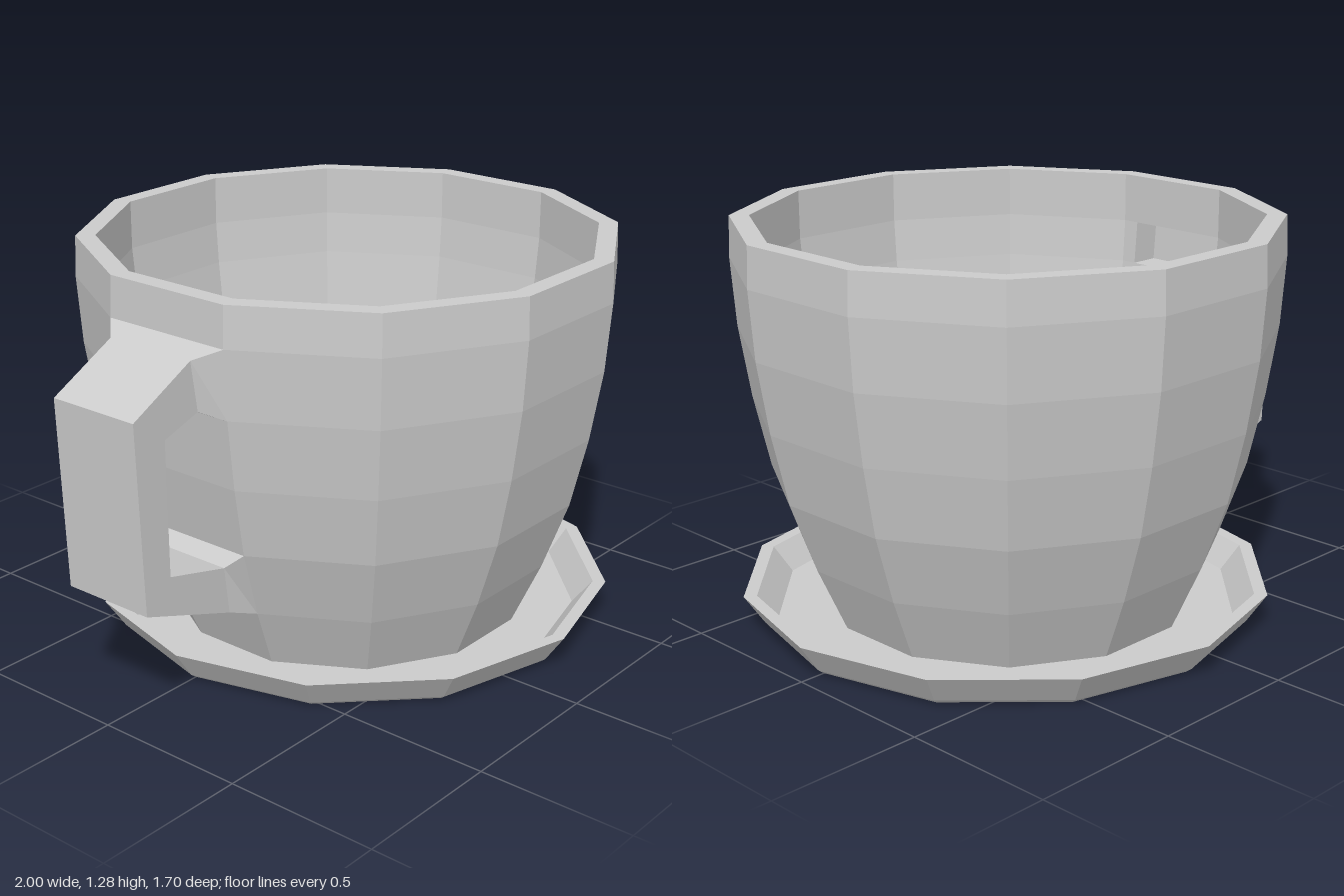
import * as THREE from 'three';

const SIDES = 12;
const HALF = Math.PI / SIDES;
const CUP_X = 0.13;
const material = new THREE.MeshStandardMaterial({ color: 0xcccccc, flatShading: true });

// Collects four-cornered faces (counter-clockwise from outside) into one mesh
function faceBuilder(name) {
  const pos = [];
  return {
    quad(a, b, c, d) {
      for (const p of [a, b, c, a, c, d]) pos.push(...p);
    },
    mesh() {
      const g = new THREE.BufferGeometry();
      g.setAttribute('position', new THREE.Float32BufferAttribute(pos, 3));
      g.computeVertexNormals();
      const m = new THREE.Mesh(g, material);
      m.name = name;
      return m;
    },
  };
}

// Cup wall: [distance to the flat side, height, opening kind on the handle side]
const cupProfile = [
  [0, 0.03], [0.565, 0.03], [0.655, 0.24, 'handle'], [0.735, 0.47], [0.785, 0.7],
  [0.82, 0.93, 'handle'], [0.835, 1.15], [0.83, 1.28],
  [0.77, 1.28], [0.77, 1.12, 'pit'], [0.758, 0.98], [0.72, 0.7],
  [0.655, 0.44, 'pit'], [0.595, 0.28], [0.505, 0.1], [0, 0.1],
];

function cup() {
  const f = faceBuilder('cup');
  const at = (angle, [r, y]) => {
    const R = r / Math.cos(HALF);
    return [CUP_X + R * Math.cos(angle), y, R * Math.sin(angle)];
  };
  for (let k = 0; k < SIDES; k++) {
    const a0 = HALF * (2 * k + 1), a1 = a0 + 2 * HALF;
    for (let i = 0; i < cupProfile.length - 1; i++) {
      const p = cupProfile[i], q = cupProfile[i + 1];
      const outer = [at(a1, p), at(a0, p), at(a0, q), at(a1, q)];
      const opening = k === 5 ? p[2] : undefined;
      if (!opening) f.quad(...outer);
      if (opening === 'pit') pit(f, outer);
    }
  }
  return f.mesh();
}

// Recess in the inner wall where a handle end joins the cup
function pit(f, outer) {
  const w = 0.15, depth = 0.1;
  const rim = outer.map(([x, y, z]) => [x, y, Math.sign(z) * w]);
  const back = rim.map(([x, y, z]) => [x - depth, y, z]);
  f.quad(outer[0], rim[0], rim[3], outer[3]);
  f.quad(rim[1], outer[1], outer[2], rim[2]);
  for (let j = 0; j < 4; j++) {
    const n = (j + 1) % 4;
    f.quad(rim[j], rim[n], back[n], back[j]);
  }
  f.quad(...back);
}

// Angular handle: outer x, y and inner x, y along its path; the roots flare to the wall panel
function handle() {
  const f = faceBuilder('handle');
  const path = [
    [-0.705, 1.15, -0.69, 0.93], [-0.77, 1.12, -0.745, 0.96],
    [-1, 1, -0.88, 0.915], [-0.975, 0.4, -0.875, 0.49],
    [-0.63, 0.28, -0.65, 0.435], [-0.525, 0.24, -0.605, 0.47],
  ];
  const rings = path.map(([ox, oy, ix, iy], i) => {
    const root = i === 0 || i === path.length - 1;
    const width = (x) => (root ? (CUP_X - x) * Math.tan(HALF) : 0.158);
    const wo = width(ox), wi = width(ix);
    return [[ox, oy, wo], [ox, oy, -wo], [ix, iy, -wi], [ix, iy, wi]];
  });
  for (let i = 0; i < rings.length - 1; i++) {
    const s = rings[i], t = rings[i + 1];
    for (let j = 0; j < 4; j++) {
      const n = (j + 1) % 4;
      f.quad(s[j], s[n], t[n], t[j]);
    }
  }
  return f.mesh();
}

// Shallow saucer with a slanted lip
function saucer() {
  const profile = [
    [0, 0], [0.767, 0], [0.787, 0.015], [0.852, 0.11], [0.81, 0.11], [0.745, 0.03], [0, 0.03],
  ].map(([r, y]) => new THREE.Vector2(r, y));
  const m = new THREE.Mesh(new THREE.LatheGeometry(profile, SIDES), material);
  m.name = 'saucer';
  m.position.x = 0.147;
  return m;
}

export function createModel() {
  const group = new THREE.Group();
  group.name = 'cupAndSaucer';
  group.add(saucer(), cup(), handle());
  return group;
}
